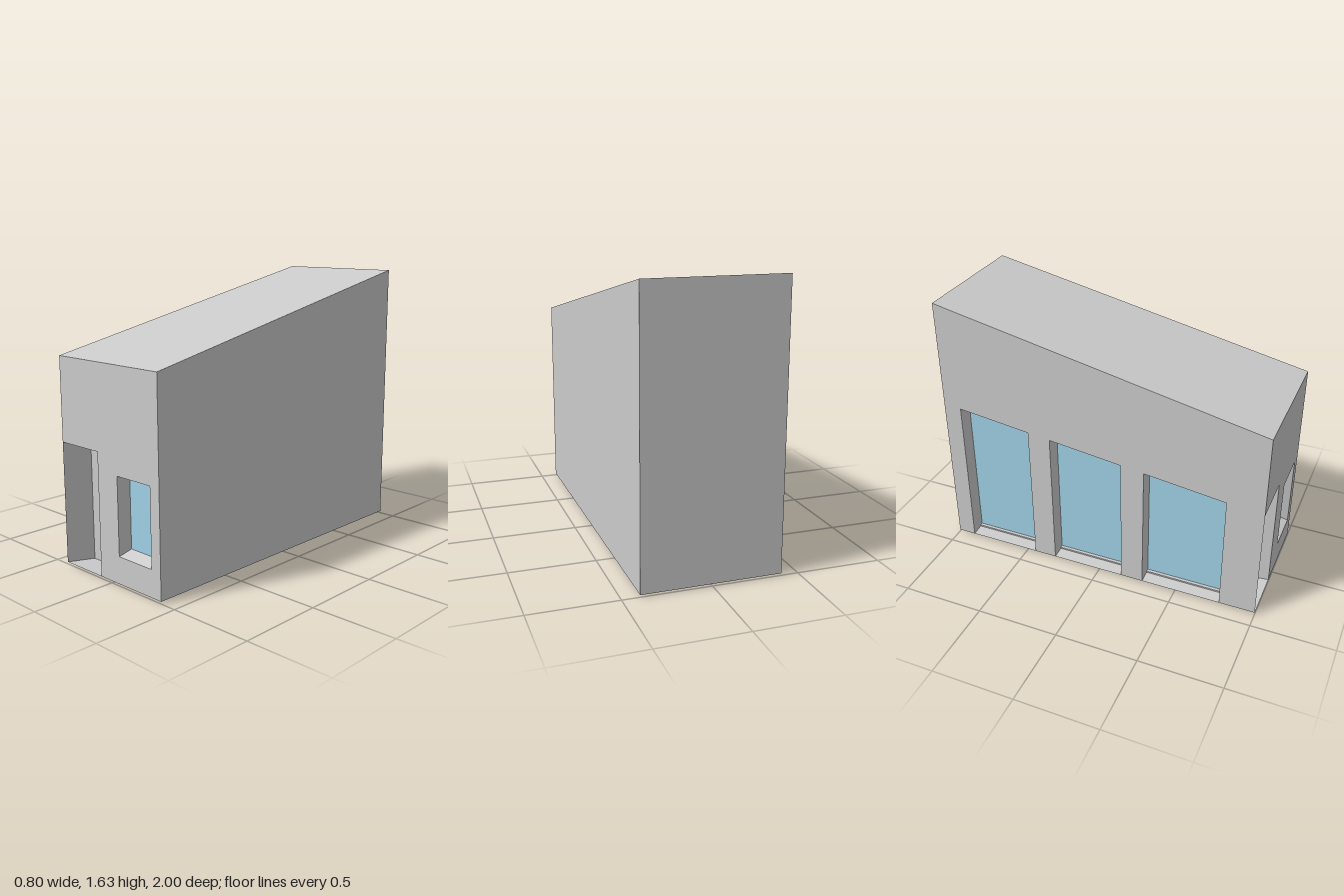
import * as THREE from 'three';

const BASE = 0.012, HALF_W = 0.4, FRONT_H = 1.215, BACK_H = 1.63;

const grey = new THREE.MeshStandardMaterial({ color: 0xcccccc, flatShading: true });
const greyThin = new THREE.MeshStandardMaterial({ color: 0xcccccc, flatShading: true, side: THREE.DoubleSide });
const glass = new THREE.MeshStandardMaterial({ color: 0xa0d2e8, side: THREE.DoubleSide });

const toShape = pts => new THREE.Shape(pts.map(p => new THREE.Vector2(...p)));
const rect = (x0, y0, x1, y1) => [[x0, y0], [x1, y0], [x1, y1], [x0, y1]];

function addMesh(parent, name, geometry, material) {
  const mesh = new THREE.Mesh(geometry, material);
  mesh.name = name;
  parent.add(mesh);
  return mesh;
}

// Flat panel from an outline with optional holes, facing local +z
function addPanel(parent, name, outline, material, holes = []) {
  const shape = toShape(outline);
  holes.forEach(h => shape.holes.push(new THREE.Path(h.map(p => new THREE.Vector2(...p)))));
  return addMesh(parent, name, new THREE.ShapeGeometry(shape), material);
}

// Quads given as counter-clockwise corners
function quads(list) {
  const pos = list.flatMap(([a, b, c, d]) => [a, b, c, a, c, d].flat());
  const g = new THREE.BufferGeometry();
  g.setAttribute('position', new THREE.Float32BufferAttribute(pos, 3));
  g.computeVertexNormals();
  return g;
}

// Recess: reveals joining an outer outline to a set-back panel
function addRecess(parent, name, outer, inner, depth, panelName, panelMaterial) {
  const group = new THREE.Group();
  group.name = name;
  const sides = outer.map((o, i) => {
    const j = (i + 1) % outer.length;
    return [[...o, 0], [...outer[j], 0], [...inner[j], -depth], [...inner[i], -depth]];
  });
  addMesh(group, name + 'Reveal', quads(sides), greyThin);
  addPanel(group, panelName, inner, panelMaterial).position.z = -depth;
  parent.add(group);
}

export function createModel() {
  const model = new THREE.Group();
  model.name = 'shedRoofHouse';

  // Front wall, notched at the corner for the entrance
  const front = new THREE.Group();
  front.name = 'front';
  front.position.z = 1;
  model.add(front);
  const doorOuter = rect(-HALF_W, BASE, -0.09, 0.725);
  const windowOuter = rect(0.07, 0.17, 0.33, 0.62);
  addPanel(front, 'frontWall', [
    [-0.09, BASE], [HALF_W, BASE], [HALF_W, FRONT_H], [-HALF_W, FRONT_H], [-HALF_W, 0.725], [-0.09, 0.725],
  ], grey, [windowOuter]);
  addRecess(front, 'entrance', doorOuter, rect(-0.355, 0, -0.095, 0.66), 0.16, 'door', greyThin);
  addRecess(front, 'frontWindow', windowOuter, rect(0.09, 0.2, 0.31, 0.59), 0.07, 'frontWindowGlass', glass);

  // Side wall with three tall windows; local x runs along world z
  const side = new THREE.Group();
  side.name = 'windowSide';
  side.rotation.y = -Math.PI / 2;
  side.position.x = -HALF_W;
  model.add(side);
  const headAt = z => 0.962 - 0.128 * (z + 0.89);
  const bays = [[-0.89, -0.44], [-0.3, 0.15], [0.29, 0.78]];
  const outline = [[-1, BASE]];
  for (const [a, b] of bays) outline.push([a, BASE], [a, headAt(a)], [b, headAt(b)], [b, BASE]);
  outline.push([1, BASE], [1, FRONT_H], [-1, BACK_H]);
  addPanel(side, 'windowWall', outline, grey);
  bays.forEach(([a, b], i) => {
    const outer = [[a, BASE], [b, BASE], [b, headAt(b)], [a, headAt(a)]];
    const inner = outer.map(([z, y], k) => [z, k < 2 ? y + 0.008 : y]);
    addRecess(side, 'tallWindow' + (i + 1), outer, inner, 0.097, 'tallWindowGlass' + (i + 1), glass);
    // Low strip at the foot of the glass
    const sill = addMesh(side, 'sillStrip' + (i + 1), new THREE.BoxGeometry(b - a, 0.016, 0.02), grey);
    sill.position.set((a + b) / 2, BASE + 0.008, -0.087);
  });

  // Blank side, back, sloping roof and underside
  const W = HALF_W;
  addMesh(model, 'blankSideWall', quads([[[W, BASE, 1], [W, BASE, -1], [W, BACK_H, -1], [W, FRONT_H, 1]]]), grey);
  addMesh(model, 'backWall', quads([[[W, BASE, -1], [-W, BASE, -1], [-W, BACK_H, -1], [W, BACK_H, -1]]]), grey);
  addMesh(model, 'roof', quads([[[-W, FRONT_H, 1], [W, FRONT_H, 1], [W, BACK_H, -1], [-W, BACK_H, -1]]]), grey);
  addMesh(model, 'underside', quads([[[-W, BASE, -1], [W, BASE, -1], [W, BASE, 1], [-W, BASE, 1]]]), grey);

  return model;
}
